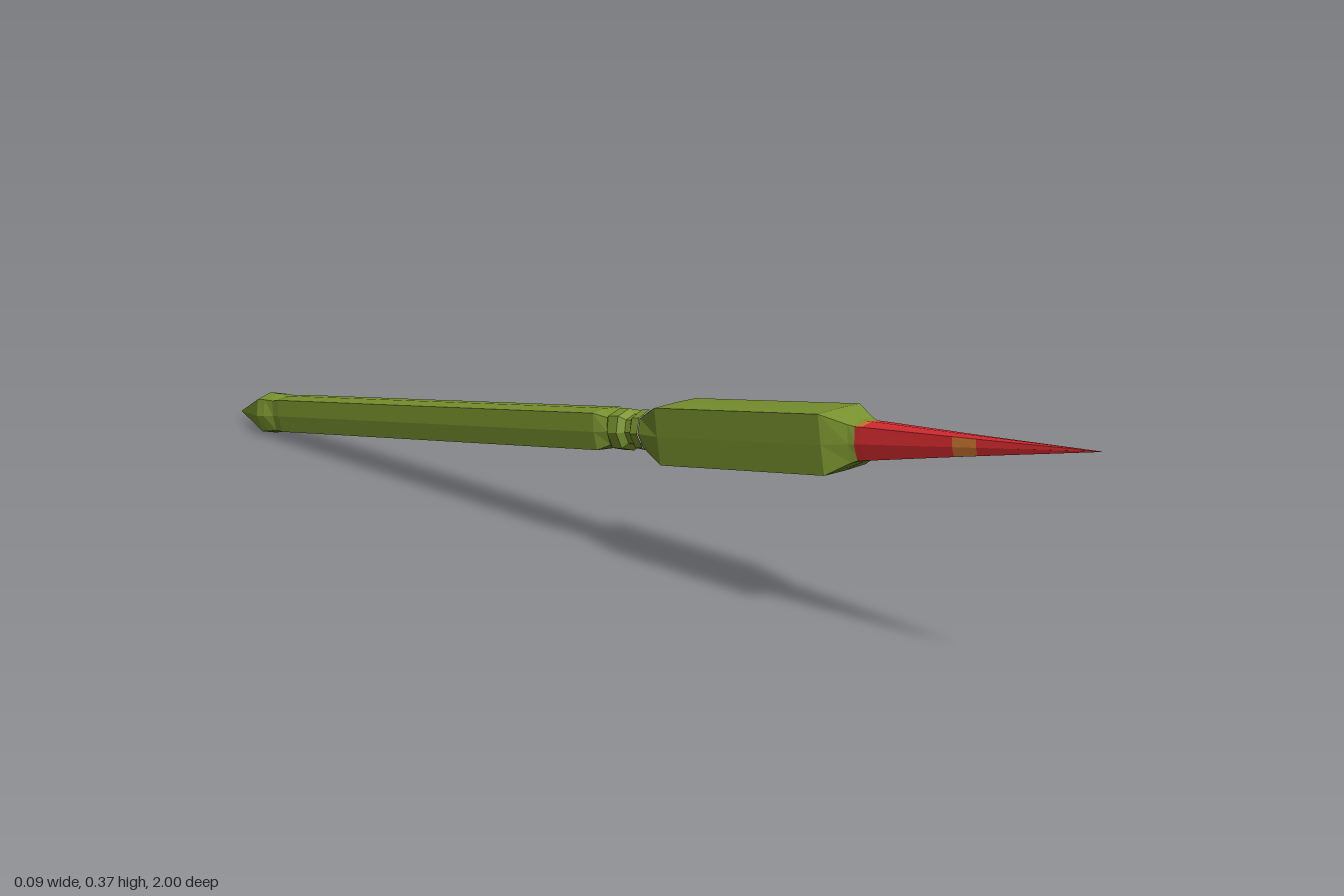
import * as THREE from 'three';

const mat = (name, color) => {
  const m = new THREE.MeshStandardMaterial({ color, flatShading: true });
  m.name = name;
  return m;
};

// Eight points of a slightly bulged square: middles at m, corners at c
function section([z, m, c]) {
  return Array.from({ length: 8 }, (_, j) => {
    const a = (j * Math.PI) / 4;
    const r = j % 2 ? c * Math.SQRT2 : m;
    return [r * Math.cos(a), r * Math.sin(a), z];
  });
}

// Skin cross-sections along z; pick(i, j) gives the material index of a panel
function loft(name, rings, materials, pick = () => 0) {
  const pos = [];
  const geo = new THREE.BufferGeometry();
  const secs = rings.map(section);
  for (let i = 0; i < secs.length - 1; i++) {
    for (let j = 0; j < 8; j++) {
      const k = (j + 1) % 8;
      const a = secs[i][j], b = secs[i][k], c = secs[i + 1][k], d = secs[i + 1][j];
      geo.addGroup(pos.length / 3, 6, pick(i, j));
      pos.push(...a, ...b, ...c, ...a, ...c, ...d);
    }
  }
  geo.setAttribute('position', new THREE.Float32BufferAttribute(pos, 3));
  geo.computeVertexNormals();
  const mesh = new THREE.Mesh(geo, materials);
  mesh.name = name;
  return mesh;
}

export function createModel() {
  const green = mat('olive green', 0x7a942f);
  const red = mat('red', 0xd42a2f);
  const orange = mat('orange', 0xc8742f);

  const shaft = new THREE.Group();
  shaft.name = 'shaft';

  // Pointed tail with a flare
  shaft.add(loft('tailPoint', [
    [-1.014, 0.0005, 0.0004], [-0.905, 0.039, 0.031], [-0.885, 0.037, 0.03], [-0.862, 0.031, 0.028],
  ], [green]));

  // Long square handle
  shaft.add(loft('handle', [
    [-0.862, 0.031, 0.028], [-0.84, 0.033, 0.03], [0.05, 0.033, 0.03], [0.075, 0.027, 0.022],
  ], [green]));

  // Turned rings between handle and head
  shaft.add(loft('neckRings', [
    [0.075, 0.027, 0.022], [0.083, 0.034, 0.026], [0.105, 0.034, 0.026], [0.115, 0.025, 0.019],
    [0.127, 0.025, 0.019], [0.135, 0.033, 0.024], [0.152, 0.033, 0.024],
  ], [green]));

  // Square head, tapering at both ends
  shaft.add(loft('head', [
    [0.152, 0.031, 0.023], [0.212, 0.046, 0.045], [0.556, 0.046, 0.045],
    [0.595, 0.031, 0.028], [0.609, 0.028, 0.024],
  ], [green]));

  // Red spike with an orange mark on each side and at its top root
  shaft.add(loft('spike', [
    [0.605, 0.029, 0.025], [0.618, 0.0282, 0.0243], [0.775, 0.0165, 0.0143],
    [0.815, 0.0138, 0.0118], [1.014, 0.0003, 0.0002],
  ], [red, orange], (i, j) => {
    const side = [0, 3, 4, 7].includes(j);
    const top = j === 1 || j === 2;
    return (i === 2 && side) || (i === 0 && top) ? 1 : 0;
  }));

  // Lean the shaft so the spike points up and forward
  shaft.rotation.set(-Math.atan(0.1735), 0.006, 0);
  shaft.position.set(-0.002, 0.197, 0);

  const model = new THREE.Group();
  model.name = 'spikedStaff';
  model.add(shaft);
  return model;
}
